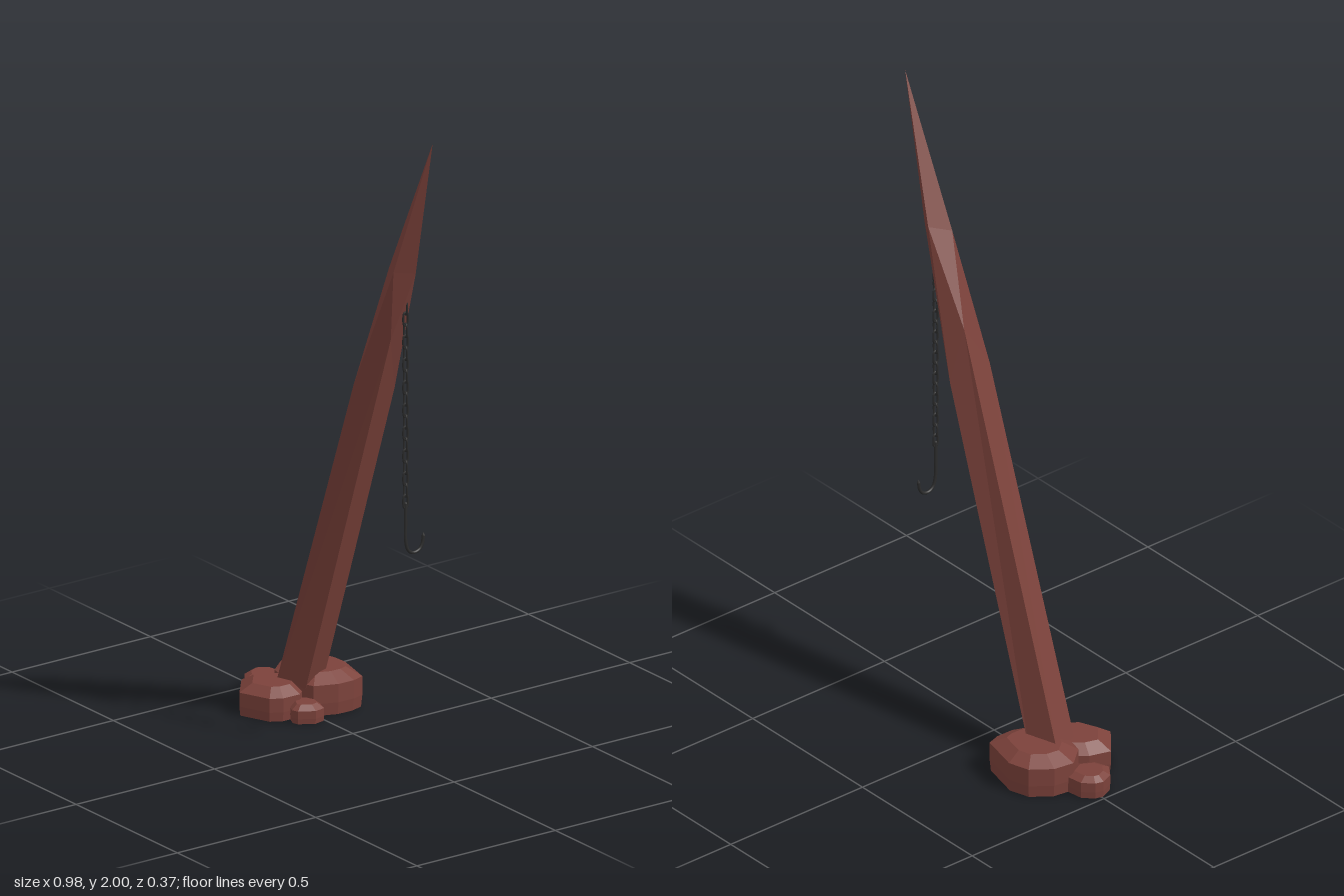
import * as THREE from 'three';

const stone = new THREE.MeshStandardMaterial({ color: 0x7c423b, flatShading: true });
const iron = new THREE.MeshStandardMaterial({ color: 0x2b2b2b });

// Joins rings of equal length (listed bottom to top, counter-clockwise from above)
// with flat faces, closing both ends. twisted[i] skews band i into an antiprism.
function loft(rings, name) {
  const pos = [];
  const tri = (a, b, c) => pos.push(...a, ...b, ...c);
  const centre = (r) => [0, 1, 2].map((k) => r.reduce((s, p) => s + p[k], 0) / r.length);
  const first = rings[0], last = rings[rings.length - 1], n = first.length;
  const c0 = centre(first), c1 = centre(last);
  for (let i = 0; i < n; i++) {
    const j = (i + 1) % n;
    tri(c0, first[j], first[i]);
    tri(c1, last[i], last[j]);
    for (let k = 0; k + 1 < rings.length; k++) {
      const lo = rings[k], hi = rings[k + 1];
      tri(lo[i], lo[j], hi[j]);
      tri(lo[i], hi[j], hi[i]);
    }
  }
  const geo = new THREE.BufferGeometry();
  geo.setAttribute('position', new THREE.Float32BufferAttribute(pos, 3));
  geo.computeVertexNormals();
  const mesh = new THREE.Mesh(geo, stone);
  mesh.name = name;
  return mesh;
}

// Low boulder: footprint outline [x, z] with straight walls and a bevelled, slightly domed top
function rock(name, outline, height, wall) {
  const n = outline.length;
  const cx = outline.reduce((s, p) => s + p[0], 0) / n;
  const cz = outline.reduce((s, p) => s + p[1], 0) / n;
  const ring = (scale, y) => outline.map(([x, z]) => [cx + (x - cx) * scale, y, cz + (z - cz) * scale]);
  return loft([ring(0.97, 0), ring(1, wall * 0.4), ring(1, wall), ring(0.62, height)], name);
}

export function createModel() {
  const model = new THREE.Group();

  // Leaning four-sided spike; the upper ring is turned an eighth so its facets interlock
  const foot = [[-0.345, 0.07, -0.04], [-0.31, 0.07, 0.053], [-0.21, 0.07, 0.02], [-0.245, 0.07, -0.07]];
  const shoulder = [[0.155, 1.29, 0.015], [0.14, 1.15, 0.1], [0.29, 1.33, 0.075], [0.165, 1.12, -0.03]];
  const neck = [[0.31, 1.57, 0.008], [0.275, 1.55, 0.07], [0.34, 1.56, 0.102], [0.365, 1.55, 0.04]];
  const tip = neck.map(() => [0.49, 2, 0.07]);
  model.add(loft([foot, shoulder, neck, tip], 'spike'));

  // Rocks around the foot
  model.add(
    rock('backRock', [[-0.41, -0.04], [-0.36, 0.02], [-0.27, 0.045], [-0.18, 0.01], [-0.153, -0.06],
      [-0.152, -0.115], [-0.165, -0.155], [-0.29, -0.185], [-0.355, -0.165], [-0.4, -0.105]], 0.12, 0.095),
    rock('frontRock', [[-0.4, 0.11], [-0.315, 0.18], [-0.22, 0.14], [-0.2, 0.105], [-0.2, 0.045],
      [-0.24, 0], [-0.34, -0.005], [-0.38, 0.045]], 0.097, 0.072),
    rock('leftRock', [[-0.492, 0.005], [-0.475, 0.045], [-0.435, 0.072], [-0.39, 0.055], [-0.36, 0],
      [-0.39, -0.06], [-0.455, -0.05], [-0.485, -0.02]], 0.065, 0.052),
    rock('rightRock', [[-0.235, 0.04], [-0.21, 0.075], [-0.175, 0.092], [-0.155, 0.085], [-0.128, 0.04],
      [-0.135, 0.005], [-0.18, -0.01], [-0.22, 0]], 0.055, 0.04)
  );

  // Chain of stadium links, every other one turned a quarter
  const chain = new THREE.Group();
  chain.name = 'chain';
  chain.position.set(0.315, 0, 0.04);
  const linkPath = [];
  for (let i = 0; i < 12; i++) {
    const a = ((i + 0.5) / 12) * Math.PI * 2;
    linkPath.push(new THREE.Vector3(Math.cos(a) * 0.0075, Math.sin(a) * 0.009 + Math.sign(Math.sin(a)) * 0.012, 0));
  }
  const linkGeo = new THREE.TubeGeometry(new THREE.CatmullRomCurve3(linkPath, true), 20, 0.0033, 6, true);
  for (let i = 0; i < 18; i++) {
    const link = new THREE.Mesh(linkGeo, iron);
    link.name = 'link';
    link.position.y = 1.43 - i * 0.0355;
    link.rotation.y = (i % 2) * Math.PI / 2;
    chain.add(link);
  }
  model.add(chain);

  // Hook: straight shank curling toward the back
  const hookPath = new THREE.CatmullRomCurve3([
    [0.04, 0.82], [0.04, 0.76], [0.039, 0.7], [0.03, 0.672], [0.012, 0.661], [-0.01, 0.667], [-0.021, 0.685], [-0.024, 0.708],
  ].map(([z, y]) => new THREE.Vector3(0.315, y, z)));
  const hook = new THREE.Mesh(new THREE.TubeGeometry(hookPath, 32, 0.005, 8), iron);
  hook.name = 'hook';
  const point = new THREE.Mesh(new THREE.ConeGeometry(0.005, 0.012, 8), iron);
  point.name = 'hookPoint';
  point.position.set(0.315, 0.713, -0.0245);
  const eye = new THREE.Mesh(new THREE.SphereGeometry(0.005, 8, 6), iron);
  eye.name = 'shankTop';
  eye.position.set(0.315, 0.82, 0.04);
  model.add(hook, point, eye);

  return model;
}
